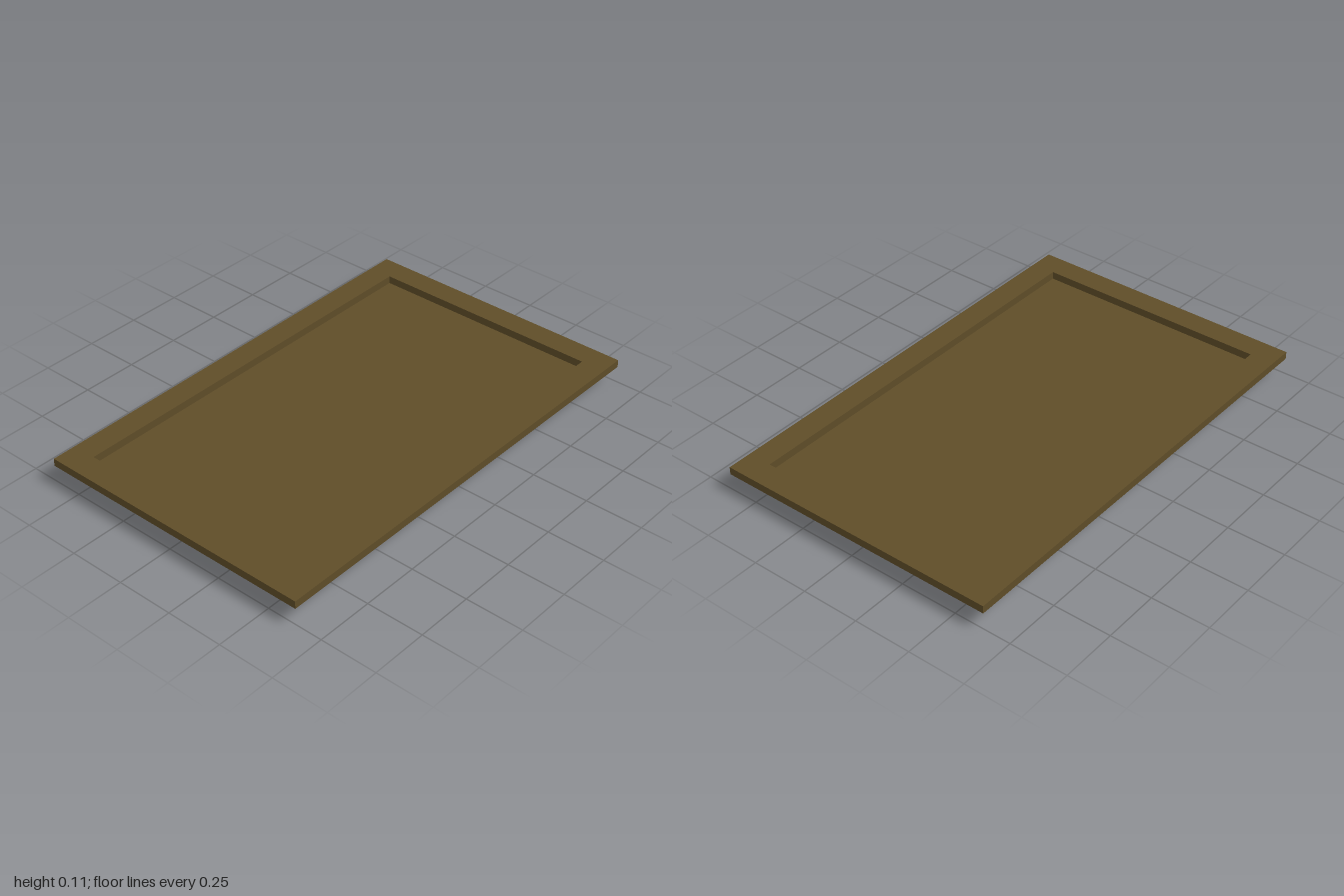
import * as THREE from 'three';

// Rectangle outline centred on the origin
function rectangle(PathType, halfWidth, halfDepth) {
  return new PathType([
    new THREE.Vector2(-halfWidth, -halfDepth),
    new THREE.Vector2(halfWidth, -halfDepth),
    new THREE.Vector2(halfWidth, halfDepth),
    new THREE.Vector2(-halfWidth, halfDepth),
  ]);
}

export function createModel() {
  const model = new THREE.Group();
  model.name = 'tray';
  const material = new THREE.MeshStandardMaterial({ color: 0x5f4d28 });

  const baseHeight = 0.073;
  const rimHeight = 0.034;

  // Solid base slab; its top is the floor of the recess
  const base = new THREE.Mesh(new THREE.BoxGeometry(1.786, baseHeight, 1.072), material);
  base.name = 'base';
  base.position.y = baseHeight / 2;
  model.add(base);

  // Overhanging flat rim with a rectangular opening
  const outline = rectangle(THREE.Shape, 1, 0.63);
  outline.holes.push(rectangle(THREE.Path, 0.892, 0.522));
  const rimGeometry = new THREE.ExtrudeGeometry(outline, { depth: rimHeight, bevelEnabled: false });
  rimGeometry.rotateX(-Math.PI / 2);
  const rim = new THREE.Mesh(rimGeometry, material);
  rim.name = 'rim';
  rim.position.y = baseHeight;
  model.add(rim);

  return model;
}
